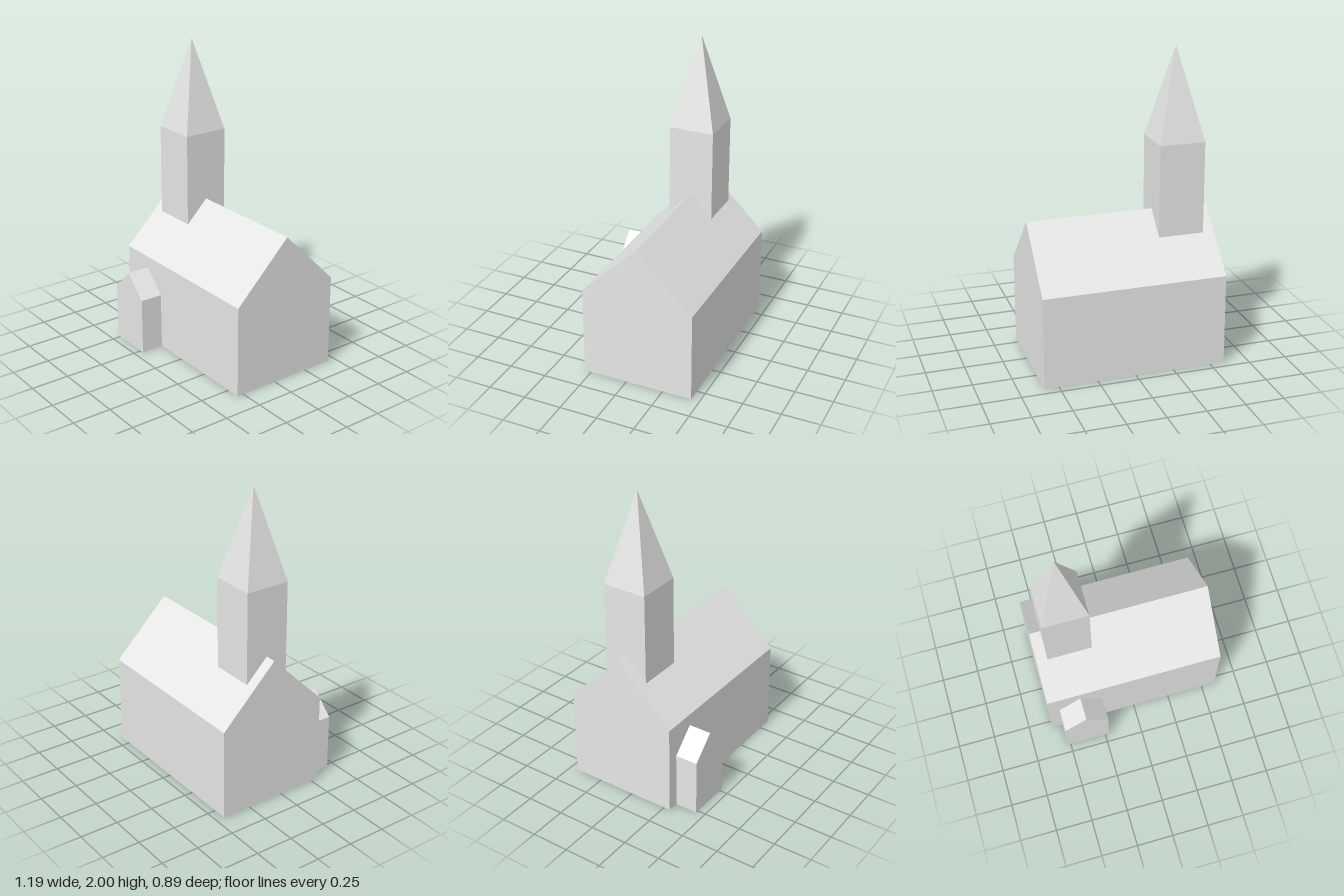
import * as THREE from 'three';

// Gabled block: pentagon profile centred on x = 0, extruded along z
function gabledBlock(width, eaves, ridge, length) {
  const w = width / 2;
  const profile = new THREE.Shape([
    new THREE.Vector2(-w, 0),
    new THREE.Vector2(w, 0),
    new THREE.Vector2(w, eaves),
    new THREE.Vector2(0, ridge),
    new THREE.Vector2(-w, eaves),
  ]);
  return new THREE.ExtrudeGeometry(profile, { depth: length, bevelEnabled: false });
}

// Flat patch facing down, outlined by [x, z] points
function underPatch(points) {
  const outline = new THREE.Shape(points.map(([x, z]) => new THREE.Vector2(x, z)));
  return new THREE.ShapeGeometry(outline).rotateX(Math.PI / 2);
}

export function createModel() {
  const model = new THREE.Group();
  model.name = 'church';
  const paleGrey = new THREE.MeshStandardMaterial({ color: 0xe6e6e6 });
  paleGrey.name = 'paleGrey';
  const darkGrey = new THREE.MeshStandardMaterial({ color: 0x737373 });
  darkGrey.name = 'darkGrey';

  const add = (name, geometry, material, x, y, z) => {
    const mesh = new THREE.Mesh(geometry, material);
    mesh.name = name;
    mesh.position.set(x, y, z);
    model.add(mesh);
  };

  const ridgeZ = -0.075;
  const towerX = -0.372;
  const towerWidth = 0.296;
  const floorY = 0.002;

  // Nave with its ridge running along x
  add('nave', gabledBlock(0.74, 0.594, 0.961, 1.186).rotateY(Math.PI / 2), paleGrey, -0.593, floorY, ridgeZ);

  // Porch against the front wall, below the tower
  add('porch', gabledBlock(towerWidth, 0.373, 0.518, 0.15), paleGrey, towerX, 0, 0.295);

  // Square tower rising from the roof ridge
  const towerBase = 0.817, towerTop = 1.412;
  const towerHeight = towerTop - towerBase;
  add('tower', new THREE.BoxGeometry(towerWidth, towerHeight, towerWidth), paleGrey,
    towerX, towerBase + towerHeight / 2, ridgeZ);

  // Four-sided spire
  const spireHeight = 2 - towerTop;
  const spire = new THREE.ConeGeometry(towerWidth / Math.SQRT2, spireHeight, 4, 1, true)
    .rotateY(Math.PI / 4).toNonIndexed();
  spire.computeVertexNormals();
  add('spire', spire, paleGrey, towerX, towerTop + spireHeight / 2, ridgeZ);

  // Dark patches on the underside of the nave
  add('largeFloorPatch', underPatch([
    [0.51, 0.294], [0.53, 0.17], [0.52, 0.08], [0.43, 0.04], [0.31, 0.06],
    [0.23, 0.07], [0.2, 0.14], [0.23, 0.22], [0.21, 0.294],
  ]), darkGrey, 0, 0, 0);
  add('smallFloorPatch', underPatch([
    [0.12, -0.435], [0.03, -0.435], [0.05, -0.4], [0.1, -0.4],
  ]), darkGrey, 0, 0, 0);

  return model;
}
